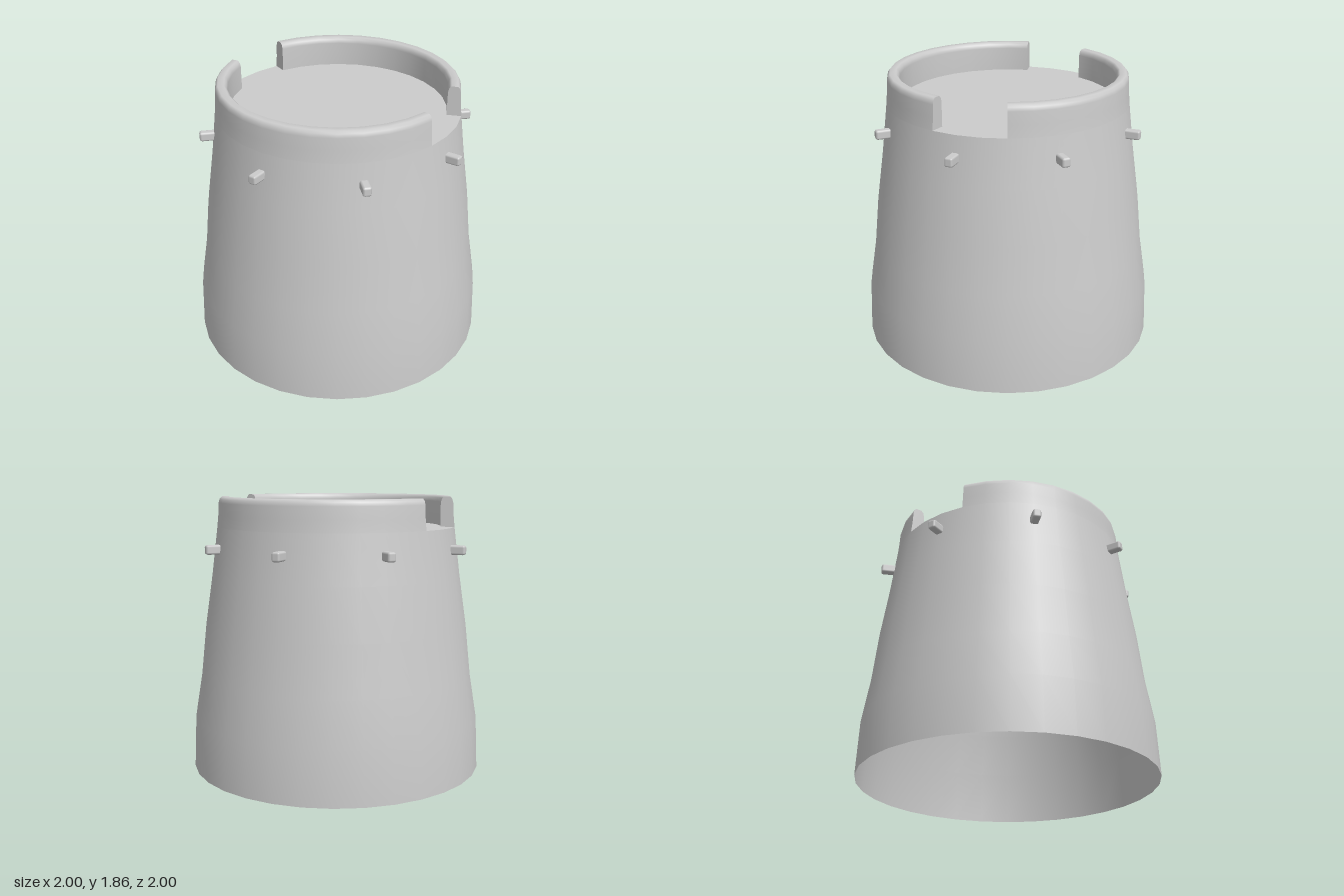
import * as THREE from 'three';
import { RoundedBoxGeometry } from 'three/addons/geometries/RoundedBoxGeometry.js';

const SIDES = 32;
const STEP = (Math.PI * 2) / SIDES;
const DECK_Y = 1.66;
const DECK_R = 0.81;

const material = new THREE.MeshStandardMaterial({ color: 0xcccccc });
const thinMaterial = new THREE.MeshStandardMaterial({ color: 0xcccccc, side: THREE.DoubleSide });
const toPoints = (list) => list.map(([x, y]) => new THREE.Vector2(x, y));

function addMesh(parent, name, geometry, mat = material) {
  const mesh = new THREE.Mesh(geometry, mat);
  mesh.name = name;
  parent.add(mesh);
  return mesh;
}

// A curved parapet wall with a rounded top and a flat cap at each end
function createParapet(name, startStep, steps) {
  const group = new THREE.Group();
  group.name = name;
  const profile = toPoints([
    [DECK_R, DECK_Y], [0.802, 1.74], [0.798, 1.82], [0.792, 1.844], [0.778, 1.86],
    [0.737, 1.86], [0.722, 1.846], [0.715, 1.82], [0.715, DECK_Y],
  ]);
  const start = startStep * STEP;
  addMesh(group, 'parapetWall', new THREE.LatheGeometry(profile, steps, start, steps * STEP));
  for (const angle of [start, start + steps * STEP]) {
    const cap = addMesh(group, 'parapetEnd', new THREE.ShapeGeometry(new THREE.Shape(profile)), thinMaterial);
    cap.rotation.y = angle - Math.PI / 2;
  }
  return group;
}

export function createModel() {
  const model = new THREE.Group();
  model.name = 'tower';

  // Tapered hollow wall, open at the bottom
  const wall = toPoints([
    [1.0, 0], [0.985, 0.36], [0.936, 0.66], [0.9, 1.0], [0.85, 1.34], [DECK_R, DECK_Y],
  ]);
  addMesh(model, 'towerWall', new THREE.LatheGeometry(wall, SIDES), thinMaterial);

  // Flat deck closing the top
  const deck = addMesh(model, 'deck', new THREE.CircleGeometry(DECK_R, SIDES), thinMaterial);
  deck.rotation.x = -Math.PI / 2;
  deck.position.y = DECK_Y;

  // Front and back parapets, leaving a gap on each side
  model.add(createParapet('frontParapet', -7, 14));
  model.add(createParapet('backParapet', 10, 12));

  // Ring of eight short pegs around the wall
  const pegGeometry = new RoundedBoxGeometry(0.056, 0.062, 0.12, 1, 0.014);
  for (let i = 0; i < 8; i++) {
    const angle = (i * Math.PI) / 4;
    const peg = addMesh(model, 'peg', pegGeometry);
    peg.position.set(Math.sin(angle) * 0.858, 1.52, Math.cos(angle) * 0.858);
    peg.rotation.y = angle;
  }
  return model;
}
